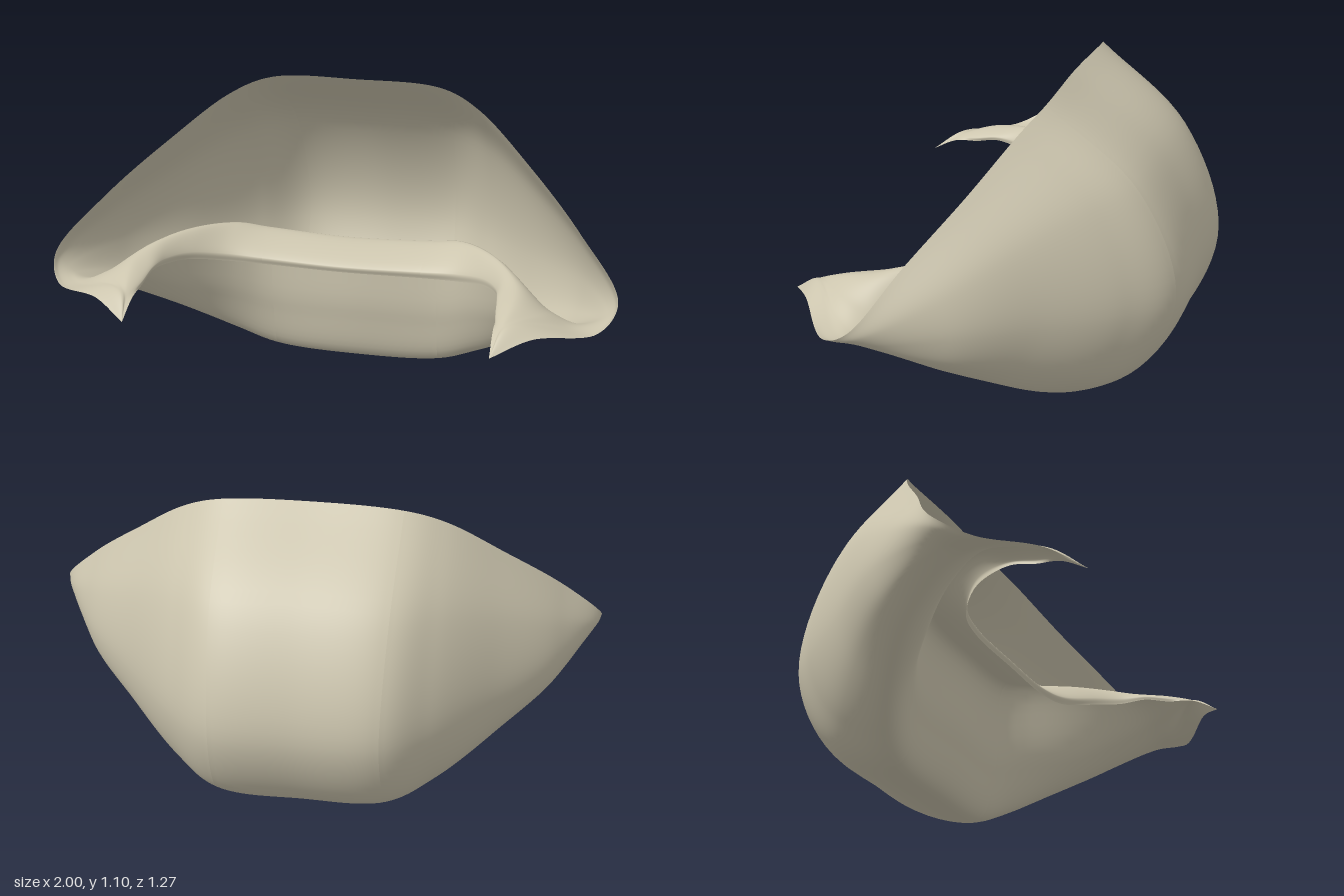
import * as THREE from 'three';

// Half-body ribs, from the middle panel's edge out to the arm.
// Each runs: rim, upper back, back, lower back, underside, front wall, crest, lip.
const RIBS = [
  [[.31, 1.09, -.155], [.3, .82, -.48], [.29, .43, -.615], [.3, .115, -.455], [.31, .028, -.19], [.31, .22, -.125], [.31, .54, -.085], [.29, .485, .085]],
  [[.45, 1.035, -.11], [.45, .8, -.37], [.45, .44, -.485], [.46, .175, -.36], [.46, .09, -.16], [.44, .27, -.075], [.41, .565, -.04], [.42, .5, .11]],
  [[.65, .88, 0], [.64, .72, -.19], [.64, .46, -.265], [.65, .275, -.19], [.64, .205, -.06], [.6, .33, .045], [.53, .585, .09], [.53, .525, .19]],
  [[.85, .7, .14], [.85, .6, .02], [.85, .47, -.02], [.84, .365, .02], [.8, .33, .1], [.72, .405, .17], [.62, .58, .22], [.585, .53, .27]],
  [[1, .52, .27], [.99, .49, .255], [.965, .46, .255], [.93, .44, .265], [.87, .435, .29], [.78, .48, .31], [.67, .56, .32], [.605, .53, .36]],
  [[.95, .45, .39], [.93, .445, .385], [.9, .445, .38], [.87, .45, .38], [.83, .465, .385], [.76, .505, .4], [.67, .54, .42], [.615, .51, .45]],
];
const ARM_END = [[.75, .472, .54], [.67, .505, .53], [.62, .485, .54]];
const TIP = [.625, .435, .635];
const ROWS = 72;

const smooth = (pts) => new THREE.CatmullRomCurve3(pts, false, 'centripetal');
const toVec = (p) => new THREE.Vector3(...p);

// The lip turns down at its free edge
function lippedRib(pts) {
  const [crest, lip] = pts.slice(-2);
  const edge = lip.clone().lerp(crest, .02);
  edge.y = lip.y - (crest.y - lip.y) * .45;
  return smooth([...pts, edge]);
}

// Lofted sheet: point(u, t) with u across the body and t from rim to lip
function sheet(cols, point) {
  const pos = [], index = [];
  for (let i = 0; i <= cols; i++) {
    for (let j = 0; j <= ROWS; j++) {
      const p = point(i / cols, j / ROWS);
      pos.push(p.x, p.y, p.z);
      if (i < cols && j < ROWS) {
        const a = i * (ROWS + 1) + j, b = a + ROWS + 1;
        index.push(a, b, a + 1, b, b + 1, a + 1);
      }
    }
  }
  const geo = new THREE.BufferGeometry();
  geo.setAttribute('position', new THREE.Float32BufferAttribute(pos, 3));
  geo.setIndex(index);
  geo.computeVertexNormals();
  return geo;
}

export function createModel() {
  const group = new THREE.Group();
  group.name = 'curledPouch';
  const material = new THREE.MeshStandardMaterial({ color: 0xccc5ae, side: THREE.DoubleSide });
  const add = (name, geo) => {
    const mesh = new THREE.Mesh(geo, material);
    mesh.name = name;
    group.add(mesh);
  };

  // The middle rib stands slightly outside the panel-edge rib, with a lower crest
  const rise = [.012, .012, 0, -.01, -.015, -.005, -.015, -.008];
  const push = [0, -.012, -.015, -.012, 0, 0, -.005, 0];
  const middle = RIBS[0].map(([x, y, z], k) => new THREE.Vector3(0, y + rise[k], z + push[k]));
  const mirrorX = (v) => new THREE.Vector3(-v.x, v.y, v.z);
  const middleRib = lippedRib(middle);
  const ribs = [...RIBS.map((r) => lippedRib(r.map(toVec))), smooth(ARM_END.map(toVec))];

  // Curves across the whole body, one per row
  const across = [];
  for (let j = 0; j <= ROWS; j++) {
    const t = j / ROWS;
    const half = [...ribs.map((r) => r.getPoint(t)), toVec(TIP)];
    across.push(smooth([...half.map(mirrorX).reverse(), middleRib.getPoint(t), ...half]));
  }
  const span = (from, to) => (u, t) =>
    across[Math.round(t * ROWS)].getPoint((from + (to - from) * u) / 16);

  // Middle panel between the two seams, then the side panels with their arms
  add('middlePanel', sheet(24, span(7, 9)));
  add('leftPanel', sheet(84, span(9, 16)));
  add('rightPanel', sheet(84, span(0, 7)));
  return group;
}
